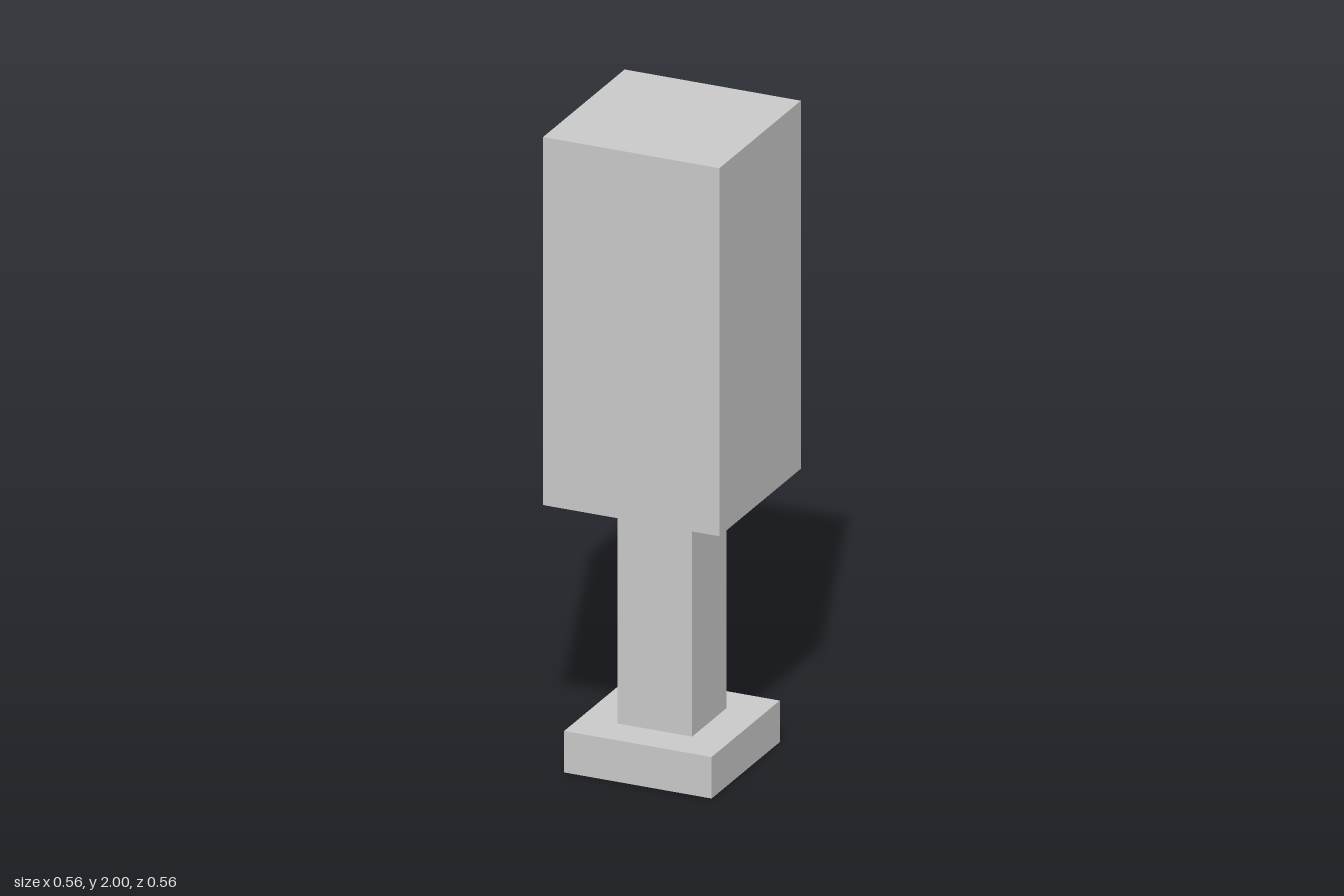
import * as THREE from 'three';

const BASE = { width: 0.47, height: 0.13 };
const POST_WIDTH = 0.238;
const SHADE = { width: 0.562, bottom: 0.847, top: 2, wall: 0.01 };

const material = new THREE.MeshStandardMaterial({ color: 0xcccccc, flatShading: true });

// Square block standing between two heights
function block(name, width, bottom, top) {
  const geometry = new THREE.BoxGeometry(width, top - bottom, width);
  geometry.translate(0, (bottom + top) / 2, 0);
  const mesh = new THREE.Mesh(geometry, material);
  mesh.name = name;
  return mesh;
}

// Centred square outline
function square(PathType, width) {
  const h = width / 2;
  return new PathType([[-h, -h], [h, -h], [h, h], [-h, h]].map(([x, y]) => new THREE.Vector2(x, y)));
}

export function createModel() {
  const model = new THREE.Group();
  model.name = 'lamp';

  const innerWidth = SHADE.width - 2 * SHADE.wall;
  const ceiling = SHADE.top - SHADE.wall;

  // Foot and the post that rises inside the shade to its ceiling
  model.add(block('base', BASE.width, 0, BASE.height));
  model.add(block('post', POST_WIDTH, BASE.height, ceiling));

  // Thin-walled shade, closed on top and open underneath
  const shade = new THREE.Group();
  shade.name = 'shade';
  const outline = square(THREE.Shape, SHADE.width);
  outline.holes.push(square(THREE.Path, innerWidth));
  const wallGeometry = new THREE.ExtrudeGeometry(outline, {
    depth: SHADE.top - SHADE.bottom,
    bevelEnabled: false,
  });
  wallGeometry.rotateX(-Math.PI / 2).translate(0, SHADE.bottom, 0);
  const walls = new THREE.Mesh(wallGeometry, material);
  walls.name = 'shadeWalls';
  shade.add(walls, block('shadeTop', innerWidth, ceiling, SHADE.top));
  model.add(shade);

  return model;
}
